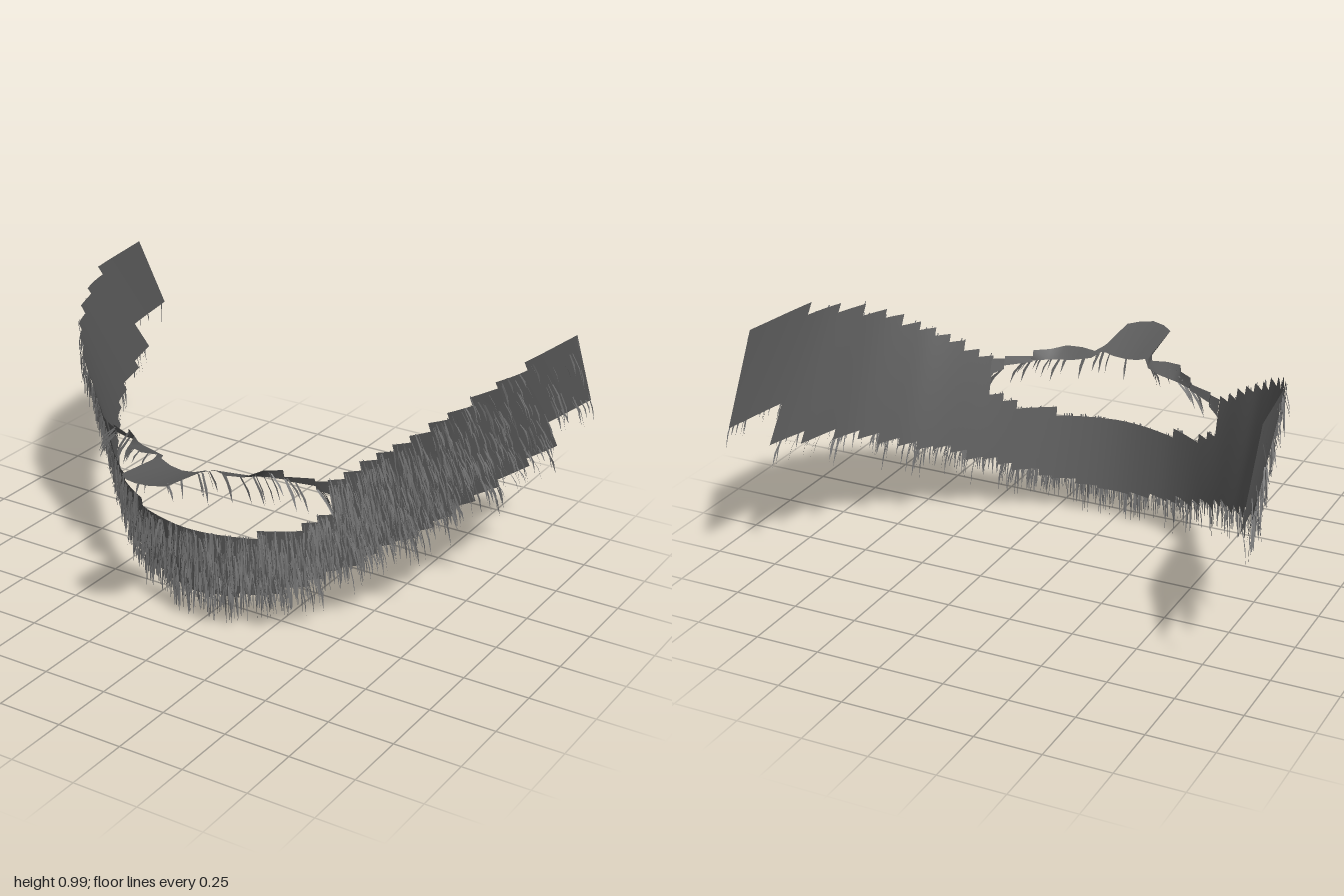
import * as THREE from 'three';

const makeMaterial = (name, color) => {
  const m = new THREE.MeshStandardMaterial({ color, side: THREE.DoubleSide });
  m.name = name;
  return m;
};
const charcoal = makeMaterial('charcoal', 0x5b5b5b);
const hairGray = makeMaterial('hair gray', 0x747474);

let seed = 7;
const rand = () => (seed = (seed * 16807) % 2147483647) / 2147483647;
const between = (a, b) => a + (b - a) * rand();

// Jaw surface z = base(x) + slope(x) * (y - 0.45), symmetric in x
const XS = [-0.2, 0, 0.2, 0.3, 0.4, 0.5, 0.6, 0.7, 0.745, 0.79, 0.835, 0.88, 0.925, 0.97];
const BASE = [0.43, 0.472, 0.43, 0.38, 0.31, 0.22, 0.10, -0.04, -0.13, -0.22, -0.34, -0.52, -0.685, -0.91];
const SLOPE = [0.2, 0.2, 0.2, 0.2, 0.22, 0.3, 0.38, 0.48, 0.53, 0.58, 0.62, 0.73, 0.74, 0.54];
const spline = (values) => {
  const s = new THREE.CubicInterpolant(new Float32Array(XS), new Float32Array(values), 1);
  return (x) => s.evaluate(Math.min(Math.abs(x), 0.97))[0];
};
const base = spline(BASE), slope = spline(SLOPE);
const jawZ = (x, y) => base(x) + slope(x) * (y - 0.45);
const jawNormal = (x, y) => {
  const h = 0.04, a = Math.max(x - h, -0.97), b = Math.min(x + h, 0.97);
  return new THREE.Vector3(-(jawZ(b, y) - jawZ(a, y)) / (b - a), -slope(x), 1).normalize();
};

// Stepped column limits, from the ear end (index 0) to the chin (index 21)
const COLS = 43, STEP = 1.94 / COLS;
const TOP = [1.02, 0.98, 0.95, 0.91, 0.88, 0.84, 0.81, 0.78, 0.75, 0.71, 0.68,
  0.53, 0.5, 0.465, 0.465, 0.465, 0.43, 0.43, 0.43, 0.43, 0.43, 0.43];
const BOTTOM = [0.705, 0.575, 0.535, 0.5, 0.47, 0.43, 0.4, 0.37, 0.36, 0.33, 0.29,
  0.28, 0.25, 0.22, 0.22, 0.19, 0.18, 0.18, 0.16, 0.16, 0.15, 0.15];
const columnIndex = (i) => Math.min(i, COLS - 1 - i);

function makeGeometry(pos, idx, nor) {
  const g = new THREE.BufferGeometry();
  g.setAttribute('position', new THREE.Float32BufferAttribute(pos, 3));
  g.setIndex(idx);
  if (nor) g.setAttribute('normal', new THREE.Float32BufferAttribute(nor, 3));
  else g.computeVertexNormals();
  return g;
}

// Curved sheet made of columns with stepped upper and lower edges
function jawSheet() {
  const pos = [], nor = [], idx = [], nu = 4, nv = 6;
  for (let i = 0; i < COLS; i++) {
    const k = columnIndex(i), start = pos.length / 3;
    for (let v = 0; v <= nv; v++) for (let u = 0; u <= nu; u++) {
      const x = -0.97 + (i + u / nu) * STEP;
      const y = BOTTOM[k] + (TOP[k] - BOTTOM[k]) * v / nv;
      pos.push(x, y, jawZ(x, y));
      nor.push(...jawNormal(x, y).toArray());
      if (u < nu && v < nv) {
        const a = start + v * (nu + 1) + u, c = a + nu + 1;
        idx.push(a, a + 1, c + 1, a, c + 1, c);
      }
    }
  }
  return makeGeometry(pos, idx, nor);
}

// Moustache half sections: x, inner y, inner z, outer y, outer z
const LIP = [
  [0.475, 0.61, 0.28, 0.67, 0.3], [0.43, 0.63, 0.31, 0.67, 0.325],
  [0.43, 0.645, 0.31, 0.68, 0.325], [0.33, 0.66, 0.36, 0.68, 0.37],
  [0.33, 0.665, 0.36, 0.705, 0.37], [0.275, 0.67, 0.385, 0.705, 0.41],
  [0.24, 0.67, 0.4, 0.7, 0.485], [0.18, 0.672, 0.42, 0.697, 0.5],
  [0.12, 0.68, 0.45, 0.697, 0.485], [0.1, 0.69, 0.49, 0.705, 0.54],
  [0.093, 0.695, 0.5, 0.728, 0.735], [0.05, 0.68, 0.505, 0.733, 0.77], [0, 0.675, 0.508, 0.737, 0.785],
];
function moustacheSheet() {
  const mirrored = LIP.slice(0, -1).reverse().map(([x, ...r]) => [-x, ...r]);
  const rows = [...LIP, ...mirrored], pos = [], idx = [];
  rows.forEach(([x, iy, iz, oy, oz], i) => {
    pos.push(x, iy, iz, x, oy, oz);
    const a = i * 2;
    if (i < rows.length - 1) idx.push(a, a + 2, a + 1, a + 1, a + 2, a + 3);
  });
  return makeGeometry(pos, idx);
}

// Tapered, slightly bent blade, its flat side turned by an angle about y
function addBlade(pos, idx, root, drop, width, turn) {
  const side = new THREE.Vector3(Math.cos(turn), 0, Math.sin(turn)).multiplyScalar(width / 2);
  const mid = root.clone().addScaledVector(drop, 0.5);
  mid.x += drop.x * 0.15;
  mid.z += drop.z * 0.15;
  const tip = root.clone().add(drop), n = pos.length / 3;
  for (const [p, s] of [[root, -0.7], [root, 0.7], [mid, -1], [mid, 1], [tip, 0]]) {
    pos.push(p.x + side.x * s, Math.max(0, p.y), p.z + side.z * s);
  }
  idx.push(n, n + 1, n + 3, n, n + 3, n + 2, n + 2, n + 3, n + 4);
}

// Hair over the outer face, thinning out towards the ears
function jawHair() {
  const pos = [], idx = [];
  for (let i = 0; i < COLS; i++) {
    const k = columnIndex(i);
    const count = Math.round((TOP[k] - BOTTOM[k]) * Math.min(270, 90 + k * 18));
    for (let j = 0; j < count; j++) {
      const x = -0.97 + (i + rand()) * STEP;
      const y = between(BOTTOM[k], TOP[k] + 0.01);
      const n = jawNormal(x, y);
      const root = new THREE.Vector3(x, y, jawZ(x, y)).addScaledVector(n, 0.004);
      const length = between(0.05, 0.135);
      // follow the slanted sheet downwards, then stand off a little
      const drop = new THREE.Vector3(x * 0.01 + between(-0.01, 0.01), -length, -length * slope(x) * 0.6);
      drop.addScaledVector(n, 0.004 + 0.022 * rand() * rand());
      const turn = Math.atan2(-n.x, n.z) + between(-1, 1);
      addBlade(pos, idx, root, drop, between(0.004, 0.008), turn);
    }
  }
  return makeGeometry(pos, idx);
}

// Sparse strands hanging below the moustache, leaning away from the middle
function moustacheHair() {
  const pos = [], idx = [];
  for (const s of [-1, 1]) {
    for (let i = 0; i < LIP.length - 1; i++) for (let j = 0; j < 2; j++) {
      const t = rand(), w = rand() * 0.8, lerp = (q) => LIP[i][q] + (LIP[i + 1][q] - LIP[i][q]) * t;
      const x = lerp(0);
      const root = new THREE.Vector3(s * x, lerp(1) + (lerp(3) - lerp(1)) * w, lerp(2) + (lerp(4) - lerp(2)) * w);
      const drop = new THREE.Vector3(s * (0.015 + x * 0.13), -between(0.06, 0.12), between(-0.01, 0.01));
      addBlade(pos, idx, root, drop, between(0.007, 0.012), between(-0.8, 0.8));
    }
  }
  return makeGeometry(pos, idx);
}

export function createModel() {
  const group = new THREE.Group();
  group.name = 'beard';
  const parts = [
    ['jawSheet', jawSheet, charcoal], ['moustacheSheet', moustacheSheet, charcoal],
    ['jawHair', jawHair, hairGray], ['moustacheHair', moustacheHair, hairGray],
  ];
  for (const [name, build, material] of parts) {
    const mesh = new THREE.Mesh(build(), material);
    mesh.name = name;
    group.add(mesh);
  }
  return group;
}
